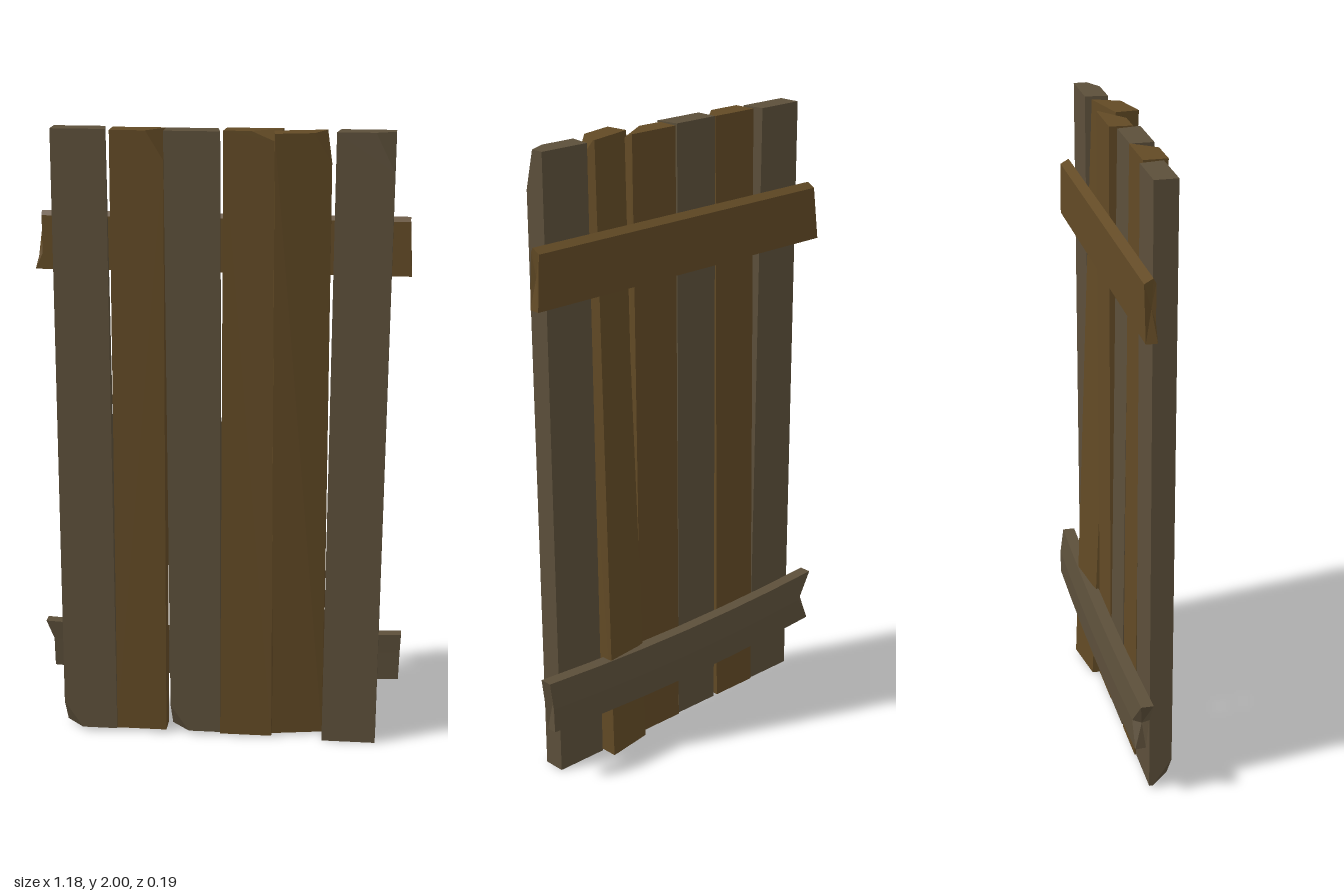
import * as THREE from 'three';
import { ConvexGeometry } from 'three/addons/geometries/ConvexGeometry.js';

const V = (x, y, z) => new THREE.Vector3(x, y, z);
const grey = new THREE.MeshStandardMaterial({ color: 0x5c4f3a, flatShading: true });
const brown = new THREE.MeshStandardMaterial({ color: 0x624a25, flatShading: true });

// Upright board. bottom/top: four [x, z] corners in the order
// front left, front right, back right, back left.
// cut: { end: 0 bottom | 1 top, corner, size: [x, y, z] } splits off one corner.
function plank(name, material, y0, bottom, top, cut) {
  const ends = [bottom.map(([x, z]) => V(x, y0, z)), top.map(([x, z]) => V(x, 2, z))];
  const points = [];
  ends.forEach((ring, e) => ring.forEach((p, i) => {
    if (cut.end !== e || cut.corner !== i) return points.push(p);
    const toward = (q, d) => p.clone().lerp(q, Math.min(0.97, d / p.distanceTo(q)));
    const side = ring[i ^ 1], depth = ring[3 - i], along = ends[1 - e][i];
    points.push(toward(side, cut.size[0]), toward(along, cut.size[1]), toward(depth, cut.size[2]));
  }));
  const mesh = new THREE.Mesh(new ConvexGeometry(points), material);
  mesh.name = name;
  return mesh;
}

// Cross rail: a [y, z] section carried along x, sagging in the middle,
// with ragged ends whose centre is set back.
function rail(name, material, section, leftX, rightX, sag, notch) {
  const n = section.length, steps = 6, rings = [];
  for (let s = 0; s <= steps; s++) {
    const t = s / steps, bend = sag * 4 * t * (1 - t);
    rings.push(section.map(([y, z], i) =>
      V(THREE.MathUtils.lerp(leftX[i], rightX[i], t), y - bend, z - bend * 0.15)));
  }
  const tris = [];
  for (let s = 0; s < steps; s++) {
    for (let i = 0; i < n; i++) {
      const j = (i + 1) % n;
      const a = rings[s][i], b = rings[s][j], c = rings[s + 1][j], d = rings[s + 1][i];
      tris.push(a, c, b, a, d, c);
    }
  }
  for (const [ring, dir] of [[rings[0], 1], [rings[steps], -1]]) {
    const centre = ring.reduce((m, p) => m.add(p), V(0, 0, 0)).divideScalar(n);
    centre.x += dir * notch;
    for (let i = 0; i < n; i++) {
      const a = ring[i], b = ring[(i + 1) % n];
      tris.push(centre, ...(dir > 0 ? [a, b] : [b, a]));
    }
  }
  const geometry = new THREE.BufferGeometry().setFromPoints(tris);
  geometry.computeVertexNormals();
  const mesh = new THREE.Mesh(geometry, material);
  mesh.name = name;
  return mesh;
}

export function createModel() {
  const group = new THREE.Group();
  group.name = 'plankPanel';

  // Six uneven upright boards
  group.add(
    plank('plank1', grey, 0.01,
      [[-0.52, 0.037], [-0.345, 0.037], [-0.345, -0.035], [-0.52, -0.035]],
      [[-0.52, 0.037], [-0.349, 0.037], [-0.36, -0.035], [-0.52, -0.035]],
      { end: 0, corner: 0, size: [0.06, 0.09, 0.06] }),
    plank('plank2', brown, 0.01,
      [[-0.345, 0.03], [-0.18, 0.03], [-0.18, -0.04], [-0.345, -0.04]],
      [[-0.335, 0.055], [-0.17, 0.055], [-0.17, -0.02], [-0.335, -0.02]],
      { end: 1, corner: 1, size: [0.055, 0.09, 0.07] }),
    plank('plank3', grey, 0.01,
      [[-0.165, 0.03], [0, 0.03], [0, -0.04], [-0.165, -0.04]],
      [[-0.17, 0.055], [0.003, 0.055], [-0.01, -0.018], [-0.17, -0.018]],
      { end: 0, corner: 0, size: [0.06, 0.09, 0.06] }),
    plank('plank4', brown, 0.005,
      [[0, 0.03], [0.17, 0.03], [0.17, -0.04], [0, -0.04]],
      [[0.01, 0.035], [0.165, 0.035], [0.19, -0.037], [0.015, -0.037]],
      { end: 1, corner: 1, size: [0.07, 0.03, 0.07] }),
    plank('plank5', brown, 0.005,
      [[0.168, 0.01], [0.335, -0.02], [0.335, -0.09], [0.175, -0.065]],
      [[0.17, 0.092], [0.34, 0.05], [0.322, -0.022], [0.163, 0.018]],
      { end: 1, corner: 1, size: [0.055, 0.09, 0.07] }),
    plank('plank6', grey, 0,
      [[0.337, 0.037], [0.512, 0.037], [0.512, -0.035], [0.337, -0.035]],
      [[0.352, 0.037], [0.53, 0.037], [0.53, -0.035], [0.362, -0.035]],
      { end: 1, corner: 1, size: [0.06, 0.12, 0.03] })
  );

  // Two cross rails on the back; sections run from the front bottom up and over
  group.add(
    rail('upperRail', brown,
      [[1.55, -0.037], [1.6, -0.037], [1.72, -0.037], [1.735, -0.045], [1.72, -0.072], [1.55, -0.072]],
      [-0.59, -0.567, -0.567, -0.567, -0.567, -0.59],
      [0.588, 0.585, 0.58, 0.58, 0.58, 0.588], 0, 0.01),
    rail('lowerRail', grey,
      [[0.19, -0.058], [0.29, -0.048], [0.355, -0.04], [0.355, -0.08], [0.27, -0.092], [0.19, -0.092]],
      [-0.566, -0.566, -0.59, -0.59, -0.525, -0.568],
      [0.582, 0.585, 0.588, 0.588, 0.584, 0.582], 0.018, 0.015)
  );
  return group;
}
